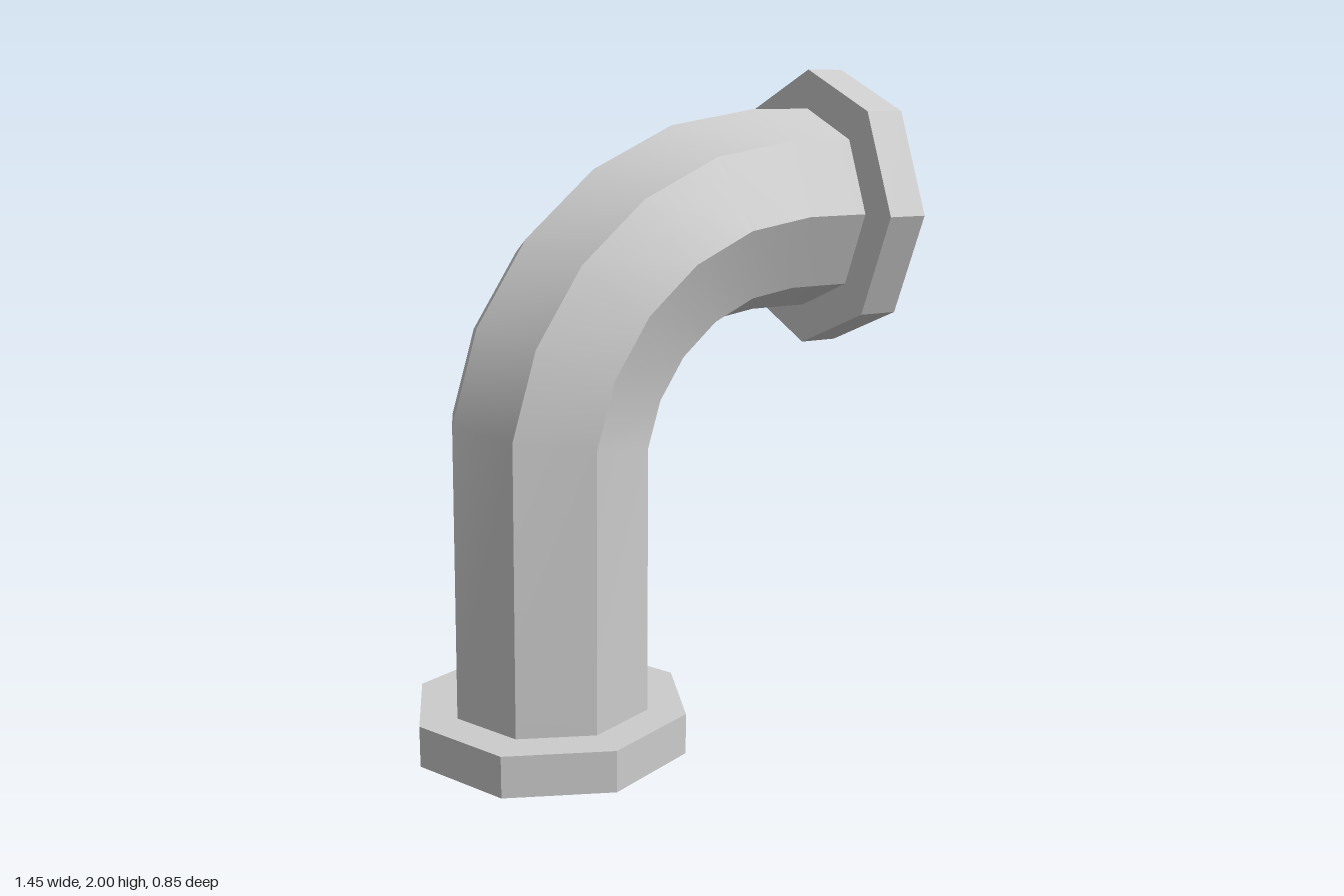
import * as THREE from 'three';

const SIDES = 8;
const PIPE_R = 0.305;

// Octagonal tube through rings {x, y, tilt}: hard edges along its length, smooth around the bend
function loftPipe(rings) {
  const positions = [];
  const indices = [];
  for (let s = 0; s < SIDES; s++) {
    const base = positions.length / 3;
    for (const { x, y, tilt } of rings) {
      for (const k of [s, s + 1]) {
        const a = (k / SIDES) * Math.PI * 2;
        const u = PIPE_R * Math.cos(a);
        positions.push(x - u * Math.cos(tilt), y + u * Math.sin(tilt), PIPE_R * Math.sin(a));
      }
    }
    for (let i = 0; i < rings.length - 1; i++) {
      const a = base + i * 2, b = a + 1, d = a + 2, c = a + 3;
      indices.push(a, b, c, a, c, d);
    }
  }
  const geometry = new THREE.BufferGeometry();
  geometry.setAttribute('position', new THREE.Float32BufferAttribute(positions, 3));
  geometry.setIndex(indices);
  geometry.computeVertexNormals();
  return geometry;
}

export function createModel() {
  const group = new THREE.Group();
  group.name = 'pipeElbow';
  const smooth = new THREE.MeshStandardMaterial({ color: 0xcccccc });
  const flat = new THREE.MeshStandardMaterial({ color: 0xcccccc, flatShading: true });

  // Pipe: straight riser, five-segment bend, short level outlet
  const rings = [{ x: -0.304, y: 0.12, tilt: 0 }];
  for (let i = 0; i <= 5; i++) {
    const tilt = THREE.MathUtils.degToRad(8.5 + 16.1 * i);
    rings.push({ x: 0.416 - 0.724 * Math.cos(tilt), y: 0.852 + 0.725 * Math.sin(tilt), tilt });
  }
  rings.push({ x: 0.605, y: 1.578, tilt: Math.PI / 2 });
  const pipe = new THREE.Mesh(loftPipe(rings), smooth);
  pipe.name = 'bentPipe';
  group.add(pipe);

  // Flange: recess floor, tapered recess wall, mouth face, rim, back face
  const profile = [
    [0, 0.13], [0.282, 0.13], [0.293, 0], [0.424, 0], [0.424, 0.125], [0.29, 0.125],
  ].map(([r, y]) => new THREE.Vector2(r, y));
  const flangeGeometry = new THREE.LatheGeometry(profile, SIDES);

  const baseFlange = new THREE.Mesh(flangeGeometry, flat);
  baseFlange.name = 'baseFlange';
  baseFlange.position.set(-0.304, 0, 0);
  group.add(baseFlange);

  const outletFlange = new THREE.Mesh(flangeGeometry, flat);
  outletFlange.name = 'outletFlange';
  outletFlange.position.set(0.726, 1.577, 0);
  outletFlange.rotation.z = Math.PI / 2;
  group.add(outletFlange);

  return group;
}
